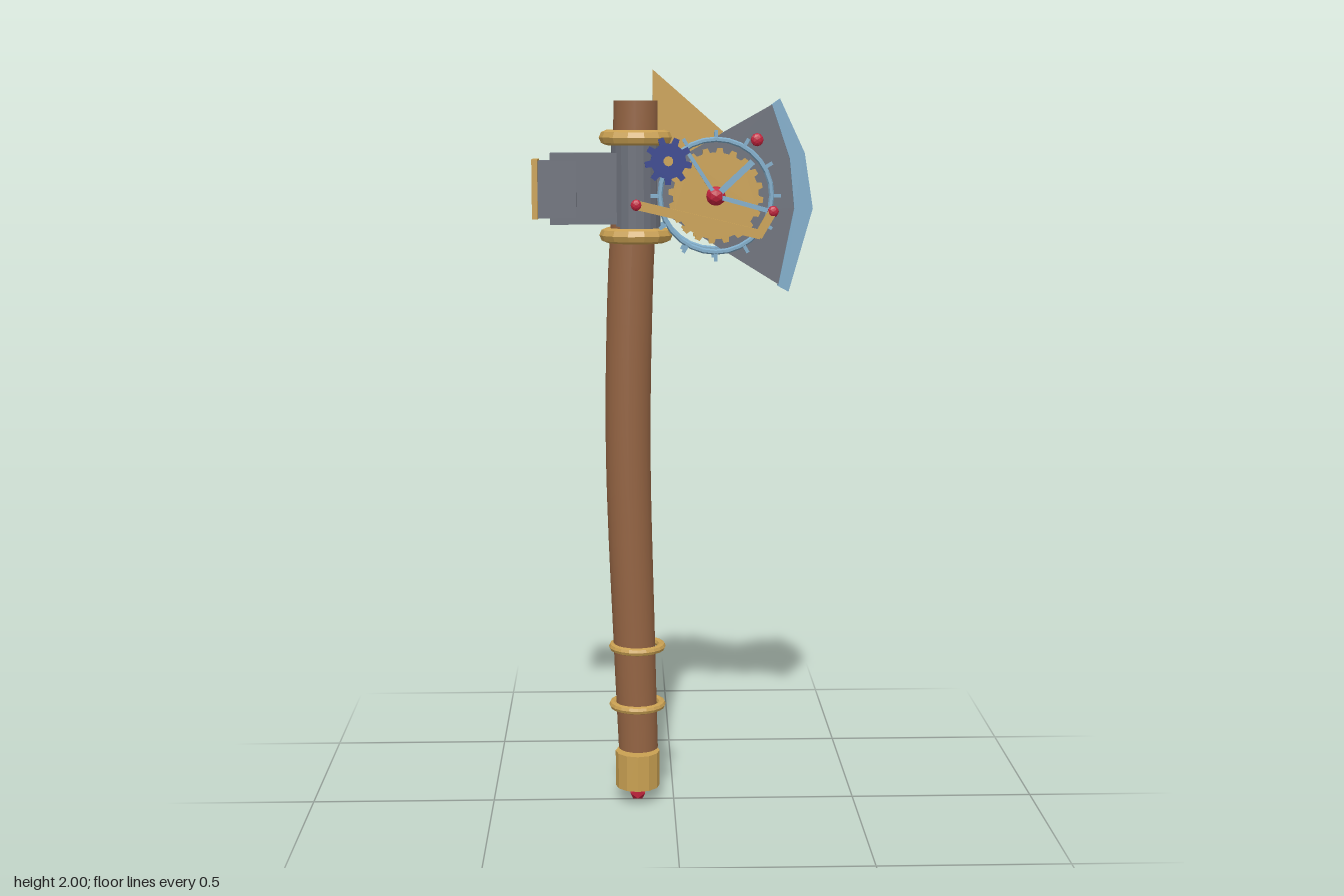
import * as THREE from 'three';

const mat = (name, color, flatShading = true) => {
  const m = new THREE.MeshStandardMaterial({ color, flatShading });
  m.name = name;
  return m;
};

export function createModel() {
  const root = new THREE.Group();
  root.name = 'axe';
  const wood = mat('wood', 0x946443, false);
  const brass = mat('brass', 0xc9a052);
  const iron = mat('iron', 0x6c707a);
  const steel = mat('paleSteel', 0x7fabc8);
  const navy = mat('navy', 0x2f3f8c);
  const ruby = mat('ruby', 0xc0223c);

  const add = (name, geo, material, x = 0, y = 0, z = 0, parent = root) => {
    const m = new THREE.Mesh(geo, material);
    m.name = name;
    m.position.set(x, y, z);
    parent.add(m);
    return m;
  };
  // flat outline in xy, extruded and centred on z
  const plate = (points, depth) => {
    const shape = new THREE.Shape(points.map(([x, y]) => new THREE.Vector2(x, y)));
    return new THREE.ExtrudeGeometry(shape, { depth, bevelEnabled: false }).translate(0, 0, -depth / 2);
  };
  const gearPoints = (teeth, inner, outer) => {
    const pts = [];
    for (let i = 0; i < teeth; i++) {
      [[0, inner], [0.45, inner], [0.55, outer], [0.9, outer]].forEach(([f, r]) => {
        const a = ((i + f) / teeth) * Math.PI * 2;
        pts.push([Math.cos(a) * r, Math.sin(a) * r]);
      });
    }
    return pts;
  };
  // bar lying in the xy plane between two points
  const bar = (name, a, b, width, depth, material, z, parent) => {
    const dx = b[0] - a[0], dy = b[1] - a[1];
    const m = add(name, new THREE.BoxGeometry(Math.hypot(dx, dy), width, depth), material,
      (a[0] + b[0]) / 2, (a[1] + b[1]) / 2, z, parent);
    m.rotation.z = Math.atan2(dy, dx);
  };
  const gem = (name, r, x, y, z, flat, parent) =>
    add(name, new THREE.IcosahedronGeometry(r, 1).scale(1, 1, flat), ruby, x, y, z, parent);

  // gently bowed wooden handle
  const handle = new THREE.CylinderGeometry(0.058, 0.054, 1.765, 20, 24);
  const bow = new THREE.CatmullRomCurve3([
    [-0.098, 0.155], [-0.108, 0.45], [-0.123, 1.0], [-0.115, 1.45], [-0.102, 1.7], [-0.1, 1.92],
  ].map(([x, y]) => new THREE.Vector3(x, y, 0)));
  const samples = bow.getSpacedPoints(100);
  const p = handle.attributes.position;
  for (let i = 0; i < p.count; i++) {
    const t = p.getY(i) / 1.765 + 0.5;
    const c = samples[Math.round(t * 100)];
    const swell = 1 + 0.08 * Math.sin(Math.PI * t);
    p.setXYZ(i, c.x + p.getX(i) * swell, c.y, p.getZ(i) * swell);
  }
  handle.computeVertexNormals();
  add('handle', handle, wood);

  // pommel
  add('pommel', new THREE.CylinderGeometry(0.061, 0.061, 0.1, 12), brass, -0.1, 0.095, 0);
  add('pommelGem', new THREE.IcosahedronGeometry(0.024, 0), ruby, -0.1, 0.024, 0);

  // grip rings and head collars
  [[0.28, 0.067, 0.011], [0.445, 0.067, 0.011], [1.57, 0.077, 0.02], [1.825, 0.077, 0.02]]
    .forEach(([y, r, tube], i) => {
      add(i < 2 ? 'gripRing' : 'headCollar',
        new THREE.TorusGeometry(r, tube, 8, i < 2 ? 20 : 14).rotateX(Math.PI / 2), brass, -0.1, y, 0);
    });

  // socket around the handle
  add('socket', new THREE.CylinderGeometry(0.065, 0.065, 0.25, 20), iron, -0.1, 1.697, 0);

  // one wedge runs from the hammer block to the blade and thins along x
  const wedge = plate([
    [-0.325, 1.6], [-0.09, 1.6], [-0.03, 1.63], [0.285, 1.435], [0.325, 1.64],
    [0.312, 1.775], [0.262, 1.912], [-0.03, 1.748], [-0.09, 1.785], [-0.325, 1.785],
  ], 2);
  const w = wedge.attributes.position;
  for (let i = 0; i < w.count; i++) w.setZ(i, w.getZ(i) * (0.03 - 0.068 * w.getX(i)));
  wedge.computeVertexNormals();
  add('hammerAndBlade', wedge, iron);
  add('hammerBlock', new THREE.BoxGeometry(0.1, 0.148, 0.126), iron, -0.306, 1.691, 0);
  add('hammerFace', new THREE.BoxGeometry(0.015, 0.155, 0.135), brass, -0.364, 1.692, 0);

  // cutting edge
  add('cuttingEdge', plate([
    [0.257, 1.91], [0.305, 1.77], [0.318, 1.64], [0.277, 1.435],
    [0.305, 1.42], [0.367, 1.64], [0.344, 1.785], [0.278, 1.925],
  ], 0.034), steel);

  // top fin
  add('topFin', plate([[-0.055, 1.74], [0.02, 1.74], [0.13, 1.84], [-0.055, 2]], 0.014), brass);

  // clockwork on each cheek
  [1, -1].forEach((s) => {
    const g = new THREE.Group();
    g.name = s > 0 ? 'frontClockwork' : 'backClockwork';
    root.add(g);
    const cx = 0.108, cy = 1.675;
    add('largeGear', plate(gearPoints(20, 0.112, 0.124), 0.014), brass, cx, cy, s * 0.062, g);
    add('ring', new THREE.TorusGeometry(0.146, 0.007, 6, 28), steel, cx, cy, s * 0.065, g);
    for (let i = 0; i < 12; i++) {
      const a = (i / 12) * Math.PI * 2;
      const at = (r) => [cx + Math.cos(a) * r, cy + Math.sin(a) * r];
      bar('ringPeg', at(0.145), at(0.17), 0.009, 0.009, steel, s * 0.065, g);
    }
    [[0.75, 0.13, 0.016], [-0.27, 0.14, 0.012], [2.15, 0.13, 0.01]].forEach(([a, r, width]) => {
      bar('spoke', [cx, cy], [cx + Math.cos(a) * r, cy + Math.sin(a) * r], width, 0.01, steel, s * 0.077, g);
    });
    gem('hubGem', 0.027, cx, cy, s * 0.063, 1, g);

    // small gear
    add('smallGear', plate(gearPoints(9, 0.046, 0.062), 0.014), navy, -0.016, 1.765, s * 0.07, g);
    add('smallGearPin', new THREE.CylinderGeometry(0.013, 0.013, 0.024, 10).rotateX(Math.PI / 2),
      brass, -0.016, 1.765, s * 0.07, g);

    // bent linkage arm with gem rivets
    bar('linkArm', [-0.1, 1.652], [0.225, 1.575], 0.024, 0.012, brass, s * 0.079, g);
    bar('linkArmEnd', [0.218, 1.57], [0.257, 1.637], 0.022, 0.012, brass, s * 0.079, g);
    gem('rivetGem', 0.015, 0.257, 1.635, s * 0.08, 0.6, g);
    gem('rivetGem', 0.015, -0.1, 1.652, s * 0.082, 0.6, g);
    gem('bladeGem', 0.017, 0.214, 1.82, s * 0.078, 0.55, g);
  });

  return root;
}
